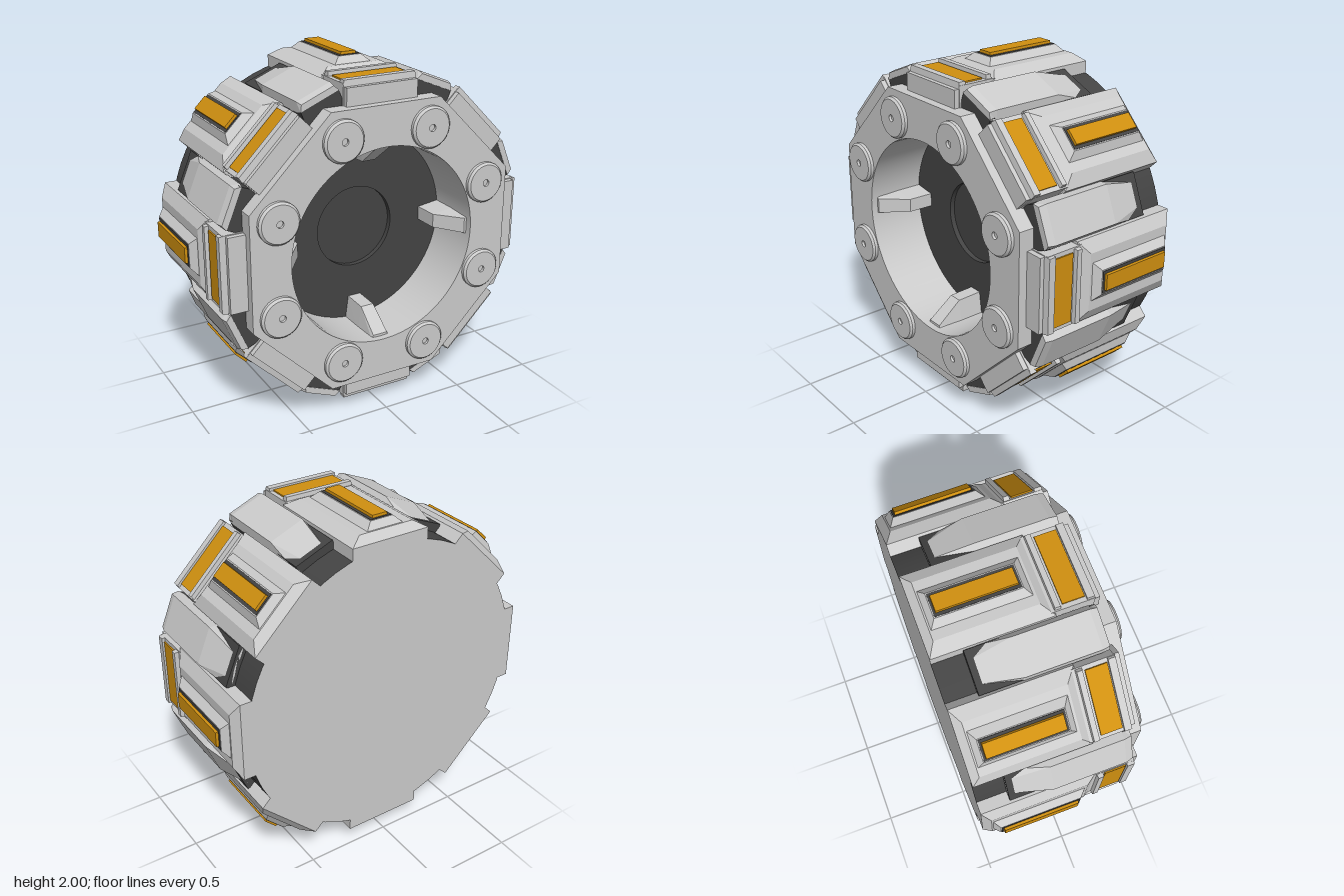
import * as THREE from 'three';
import { toCreasedNormals } from 'three/addons/utils/BufferGeometryUtils.js';

const grey = new THREE.MeshStandardMaterial({ color: 0xcccccc });
const dark = new THREE.MeshStandardMaterial({ color: 0x444444 });
const amber = new THREE.MeshStandardMaterial({ color: 0xd09010 });

function add(parent, name, geometry, material) {
  const mesh = new THREE.Mesh(geometry, material);
  mesh.name = name;
  parent.add(mesh);
  return mesh;
}

// Closed faceted solid through rings of four corners
function loft(rings) {
  const pos = [];
  const quad = (a, b, c, d) => pos.push(...a, ...b, ...c, ...a, ...c, ...d);
  for (let i = 0; i < rings.length - 1; i++) {
    for (let j = 0; j < 4; j++) {
      const k = (j + 1) % 4;
      quad(rings[i][j], rings[i][k], rings[i + 1][k], rings[i + 1][j]);
    }
  }
  quad(...[...rings[0]].reverse());
  quad(...rings[rings.length - 1]);
  const g = new THREE.BufferGeometry();
  g.setAttribute('position', new THREE.Float32BufferAttribute(pos, 3));
  g.computeVertexNormals();
  return g;
}

// Levels stacked outward: [radius, half width, back z, front z]
const stack = (...levels) => loft(levels.map(([y, h, z0, z1]) =>
  [[-h, y, z1], [h, y, z1], [h, y, z0], [-h, y, z0]]));

// Sections from back to front: [z, inner radius, inner half width, outer radius, outer half width]
const sections = (...list) => loft(list.map(([z, y0, h0, y1, h1]) =>
  [[-h0, y0, z], [h0, y0, z], [h1, y1, z], [-h1, y1, z]]));

// Copies of a part spaced evenly round the axle
function around(parent, name, count, offset, build) {
  for (let i = 0; i < count; i++) {
    const g = new THREE.Group();
    g.name = name;
    g.rotation.z = offset + (i * Math.PI * 2) / count;
    build(g);
    parent.add(g);
  }
}

function turned(points, segments = 64) {
  const g = new THREE.LatheGeometry(points.map(p => new THREE.Vector2(...p)), segments);
  g.rotateX(Math.PI / 2);
  return toCreasedNormals(g, 0.5);
}

// Big armoured pad with front clamp
function armourPad(g) {
  add(g, 'padBase', stack(
    [0.76, 0.235, -0.49, 0.17], [0.905, 0.235, -0.49, 0.17],
    [0.945, 0.165, -0.445, 0.11]), grey);
  add(g, 'padRidge', stack([0.94, 0.115, -0.44, 0.1], [0.982, 0.07, -0.405, 0.06]), grey);
  add(g, 'lightSeat', stack([0.97, 0.064, -0.4, 0.055], [0.985, 0.064, -0.4, 0.055]), dark);
  add(g, 'padLight', stack([0.97, 0.048, -0.39, 0.045], [1.0, 0.045, -0.387, 0.042]), amber);
  add(g, 'clampBlock', stack([0.7, 0.22, 0.15, 0.38], [0.918, 0.22, 0.15, 0.38]), grey);
  add(g, 'clampLip', stack([0.7, 0.215, 0.37, 0.41], [0.9, 0.215, 0.37, 0.41]), grey);
  add(g, 'clampFrontRail', stack([0.9, 0.22, 0.34, 0.385], [0.935, 0.215, 0.34, 0.38]), grey);
  add(g, 'clampBackRail', stack([0.9, 0.215, 0.165, 0.205], [0.942, 0.21, 0.17, 0.2]), grey);
  add(g, 'clampLight', stack([0.9, 0.195, 0.215, 0.335], [0.926, 0.195, 0.215, 0.335]), amber);
}

// Narrow tread between two pads
function tread(g) {
  add(g, 'treadBase', stack([0.8, 0.118, -0.32, 0.37], [0.915, 0.118, -0.32, 0.37]), dark);
  add(g, 'treadCap', sections(
    [-0.32, 0.885, 0.124, 0.9, 0.06],
    [-0.3, 0.885, 0.124, 0.912, 0.065],
    [-0.08, 0.9, 0.124, 0.955, 0.105],
    [0.33, 0.9, 0.124, 0.955, 0.105],
    [0.372, 0.91, 0.12, 0.945, 0.1]), grey);
}

export function createModel() {
  const model = new THREE.Group();
  model.name = 'wheel';
  const wheel = new THREE.Group();
  wheel.name = 'wheelBody';
  wheel.position.y = 1;
  model.add(wheel);

  // Drum: dark shell, grey flat back
  add(wheel, 'drumShell', turned([[0.87, -0.49], [0.87, 0.37], [0.6, 0.37]].map(([r, z]) => [r, -z]).reverse()), dark)
    .material = new THREE.MeshStandardMaterial({ color: 0x444444, side: THREE.DoubleSide });
  const back = add(wheel, 'backPlate', new THREE.CircleGeometry(0.87, 64), grey);
  back.rotation.y = Math.PI;
  back.position.z = -0.49;

  // Octagonal front ring with round opening
  const octagon = new THREE.Shape();
  for (let i = 0; i < 8; i++) {
    const a = ((i + 0.5) * Math.PI) / 4;
    const r = 0.8 / Math.cos(Math.PI / 8);
    octagon[i ? 'lineTo' : 'moveTo'](r * Math.cos(a), r * Math.sin(a));
  }
  octagon.closePath();
  octagon.holes.push(new THREE.Path().absarc(0, 0, 0.57, 0, Math.PI * 2, true));
  const ring = new THREE.ExtrudeGeometry(octagon, { depth: 0.36, bevelEnabled: false, curveSegments: 48 });
  ring.translate(0, 0, 0.1);
  add(wheel, 'frontRing', toCreasedNormals(ring, 0.5), grey);

  // Dark hub floor with a shallow round recess
  const floor = new THREE.Shape().absarc(0, 0, 0.58, 0, Math.PI * 2);
  floor.holes.push(new THREE.Path().absarc(0, 0, 0.24, 0, Math.PI * 2, true));
  const floorGeo = new THREE.ExtrudeGeometry(floor, { depth: 0.04, bevelEnabled: false, curveSegments: 48 });
  floorGeo.translate(0, 0, 0.08);
  add(wheel, 'hubFloor', toCreasedNormals(floorGeo, 0.5), dark);
  add(wheel, 'hubRecess', new THREE.CircleGeometry(0.245, 48), dark).position.z = 0.09;

  // Teeth inside the opening
  around(wheel, 'innerTooth', 4, 0, g => add(g, 'tooth', sections(
    [0.11, 0.435, 0.04, 0.585, 0.06],
    [0.27, 0.44, 0.04, 0.585, 0.06],
    [0.42, 0.555, 0.045, 0.585, 0.055]), grey));

  around(wheel, 'armourPad', 8, 0, armourPad);
  around(wheel, 'tread', 8, Math.PI / 8, tread);

  // Round bolts with a small centre dimple
  const boltGeo = turned([[0.118, -0.45], [0.118, -0.478], [0.106, -0.49], [0.02, -0.49], [0.02, -0.475], [0, -0.475]]
    .map(([r, y]) => [r, -y]), 32);
  around(wheel, 'bolt', 8, Math.PI / 8, g => {
    add(g, 'boltHead', boltGeo, grey).position.y = 0.695;
  });

  // Lathe rotation sends +y to +z, so the shell is flipped to face forward
  wheel.getObjectByName('drumShell').rotation.x = Math.PI;
  return model;
}
